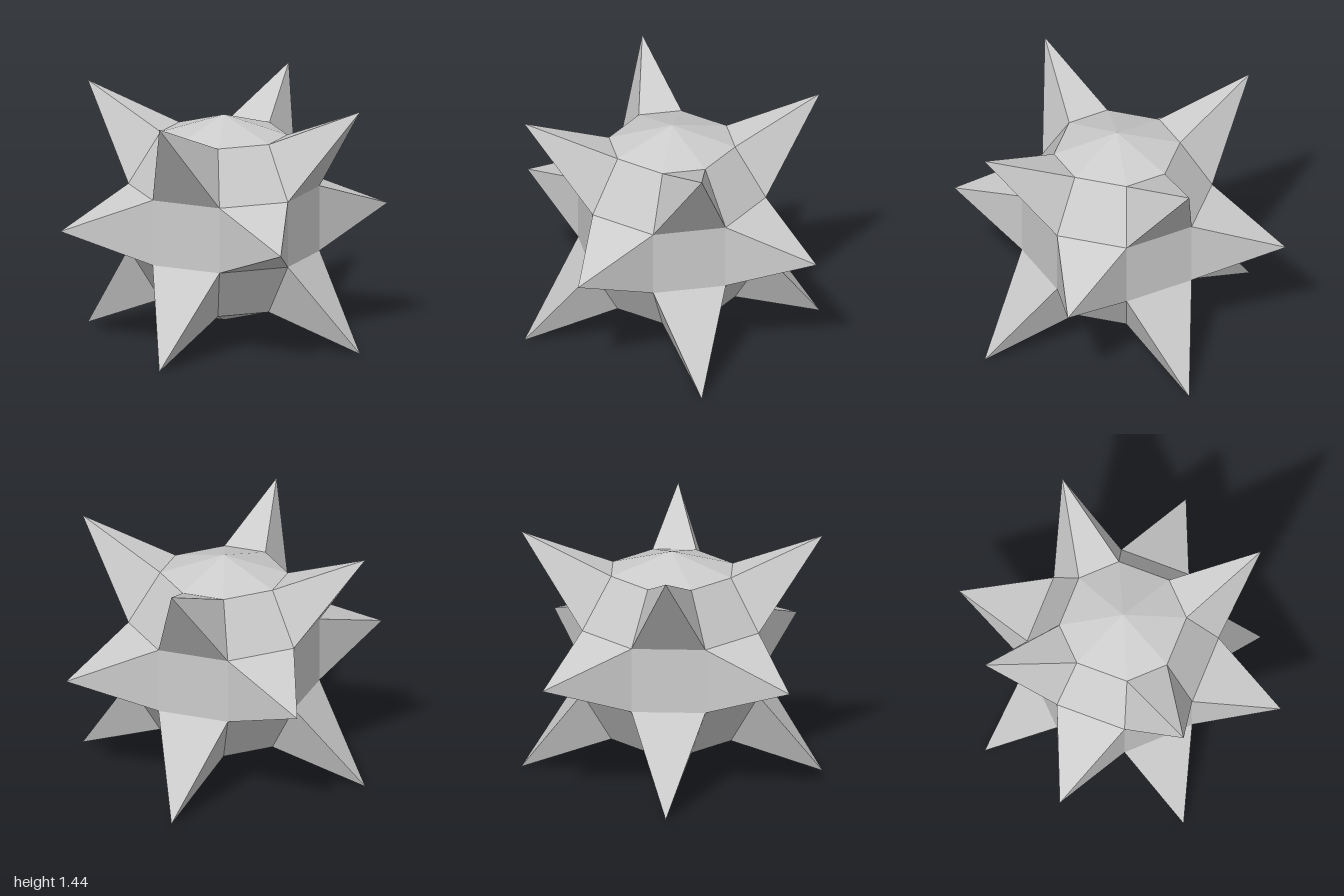
import * as THREE from 'three';

const CY = 0.72;  // height of the centre
const CZ = 0.018; // the body sits slightly forward

// eight-sided ring with corners at (a, b) and (b, a) in every quadrant
function ring(a, b, y) {
  return [[b, a], [a, b], [-a, b], [-b, a], [-b, -a], [-a, -b], [a, -b], [b, -a]]
    .map(([x, z]) => new THREE.Vector3(x, CY + y, z + CZ));
}

function facetMesh(name, triangles, material) {
  const geometry = new THREE.BufferGeometry().setFromPoints(triangles);
  geometry.computeVertexNormals(); // unshared corners give flat facets
  const mesh = new THREE.Mesh(geometry, material);
  mesh.name = name;
  return mesh;
}

export function createModel() {
  const group = new THREE.Group();
  group.name = 'spikedStar';
  const grey = new THREE.MeshStandardMaterial({ color: 0xcccccc });
  grey.name = 'light grey';

  const rings = [
    ring(0.155, 0.333, -0.498),
    ring(0.209, 0.51, -0.193),
    ring(0.209, 0.51, 0.193),
    ring(0.155, 0.333, 0.498),
  ];
  const bottom = new THREE.Vector3(0, CY - 0.611, CZ);
  const top = new THREE.Vector3(0, CY + 0.611, CZ);
  const core = [];

  // shallow caps
  for (let k = 0; k < 8; k++) {
    const n = (k + 1) % 8;
    core.push(top, rings[3][n], rings[3][k]);
    core.push(bottom, rings[0][k], rings[0][n]);
  }

  // three bands: spikes on the axis faces of the middle one and the diagonal faces of the others
  for (let band = 0; band < 3; band++) {
    for (let k = 0; k < 8; k++) {
      const n = (k + 1) % 8;
      const lo = rings[band], hi = rings[band + 1];
      const quad = [lo[n], lo[k], hi[k], hi[n]];
      const middle = band === 1;
      const diagonal = k % 2 === 0;
      if (middle === diagonal) {
        core.push(quad[0], quad[1], quad[2], quad[0], quad[2], quad[3]);
        continue;
      }
      const angle = (k + 1) * Math.PI / 4;
      const sx = Math.round(Math.cos(angle)), sz = Math.round(Math.sin(angle));
      const tip = middle
        ? new THREE.Vector3(sx, CY, sz ? sz * 0.996 : CZ)
        : new THREE.Vector3(0, CY + (band - 1) * 0.72, CZ);
      if (!middle) {
        // diagonal direction of this face
        tip.x = Math.sign(lo[k].x + lo[n].x) * 0.614;
        tip.z += Math.sign(lo[k].z + lo[n].z - 2 * CZ) * 0.615;
      }
      // pyramid without its hidden base
      const sides = quad.flatMap((p, i) => [p, quad[(i + 1) % 4], tip]);
      group.add(facetMesh(middle ? 'axisSpike' : 'cornerSpike', sides, grey));
    }
  }
  group.add(facetMesh('core', core, grey));
  return group;
}
